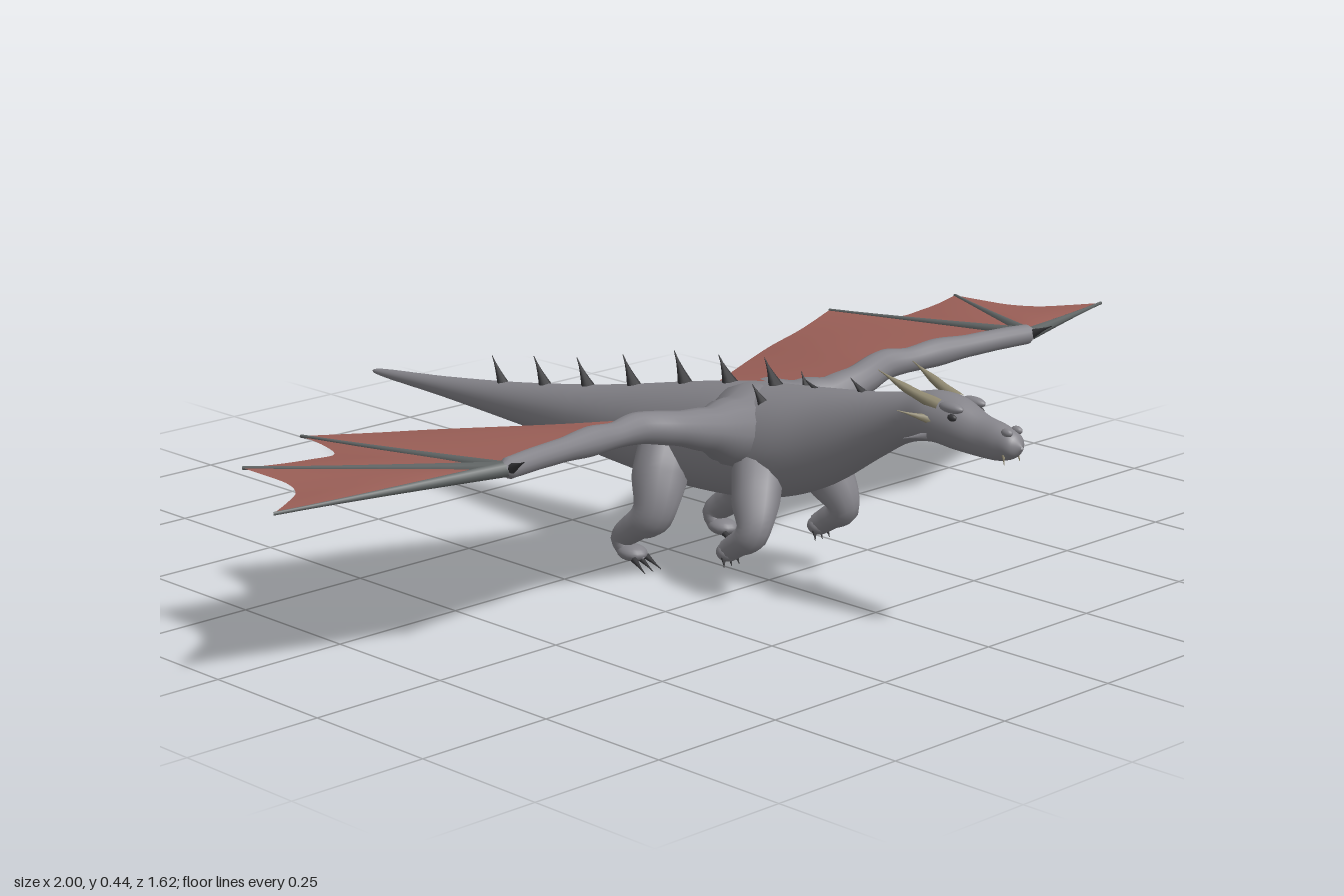
import * as THREE from 'three';
import { mergeVertices } from 'three/addons/utils/BufferGeometryUtils.js';

const material = (name, color, side = THREE.FrontSide) => {
  const m = new THREE.MeshStandardMaterial({ color, side });
  m.name = name;
  return m;
};
const V = (p) => new THREE.Vector3(...p);

export function createModel() {
  const hide = material('grey hide', 0x85848a);
  const skin = material('wing skin', 0x9c6058, THREE.DoubleSide);
  const bone = material('finger bone', 0x626767);
  const dark = material('dark spike', 0x37373a);
  const horn = material('pale horn', 0x8f8870);

  const model = new THREE.Group();
  model.name = 'dragon';
  const add = (name, geometry, mat) => {
    const mesh = new THREE.Mesh(geometry, mat);
    mesh.name = name;
    model.add(mesh);
    return mesh;
  };

  // Tube through points [x, y, z, radius], with the radius blended along it
  const limb = (name, points, mat, sides = 12, steps = 24) => {
    const curve = new THREE.CatmullRomCurve3(points.map(V));
    const geo = new THREE.TubeGeometry(curve, steps, 1, sides);
    const pos = geo.attributes.position;
    const v = new THREE.Vector3();
    for (let i = 0; i <= steps; i++) {
      const centre = curve.getPointAt(i / steps);
      const t = curve.getUtoTmapping(i / steps) * (points.length - 1);
      const k = Math.min(Math.floor(t), points.length - 2);
      const r = THREE.MathUtils.lerp(points[k][3], points[k + 1][3], THREE.MathUtils.smoothstep(t - k, 0, 1));
      for (let j = 0; j <= sides; j++) {
        const n = i * (sides + 1) + j;
        v.fromBufferAttribute(pos, n).sub(centre).multiplyScalar(r).add(centre);
        pos.setXYZ(n, v.x, v.y, v.z);
      }
    }
    return add(name, geo, mat);
  };
  const spike = (name, base, tip, r, mat) =>
    limb(name, [[...base, r], [...tip, 0.0006]], mat, 8, 4);
  const ball = (name, centre, size, mat) => {
    const geo = new THREE.SphereGeometry(1, 18, 12).scale(...size);
    add(name, geo, mat).position.set(...centre);
  };

  // Body from tail tip to nose: [z, top, bottom, half width]
  const stations = [
    [-0.81, 0.18, 0.178, 0.001], [-0.8, 0.184, 0.175, 0.006], [-0.6, 0.206, 0.168, 0.021],
    [-0.4, 0.232, 0.159, 0.038], [-0.2, 0.265, 0.149, 0.062], [-0.1, 0.285, 0.142, 0.076],
    [0, 0.307, 0.137, 0.088], [0.1, 0.328, 0.137, 0.096], [0.2, 0.346, 0.144, 0.101],
    [0.3, 0.358, 0.163, 0.092], [0.4, 0.371, 0.205, 0.066], [0.5, 0.385, 0.27, 0.045],
    [0.57, 0.399, 0.312, 0.038], [0.63, 0.412, 0.326, 0.045], [0.68, 0.409, 0.322, 0.04],
    [0.73, 0.39, 0.32, 0.03], [0.77, 0.382, 0.322, 0.026], [0.797, 0.371, 0.332, 0.02],
    [0.81, 0.353, 0.348, 0.001],
  ];
  const rail = (i) => new THREE.CatmullRomCurve3(stations.map((s) => new THREE.Vector3(s[0], s[i], 0)));
  const [topRail, bottomRail, widthRail] = [1, 2, 3].map(rail);
  const bodyGeo = new THREE.CylinderGeometry(1, 1, 1, 28, 108, true).rotateX(Math.PI / 2);
  const bp = bodyGeo.attributes.position;
  for (let i = 0; i < bp.count; i++) {
    const t = THREE.MathUtils.clamp(bp.getZ(i) + 0.5, 0, 1);
    const top = topRail.getPoint(t), bottom = bottomRail.getPoint(t).y;
    const width = Math.max(widthRail.getPoint(t).y, 0.0005);
    bp.setXYZ(i, bp.getX(i) * width, (top.y + bottom) / 2 + bp.getY(i) * (top.y - bottom) / 2, top.x);
  }
  bodyGeo.deleteAttribute('uv');
  bodyGeo.deleteAttribute('normal');
  const smoothBody = mergeVertices(bodyGeo, 1e-5);
  smoothBody.computeVertexNormals();
  add('body', smoothBody, hide);

  // Spines along the back: [base z, base y, height, radius]
  [[0.465, 0.375, 0.022, 0.008], [0.36, 0.36, 0.015, 0.006], [0.265, 0.345, 0.05, 0.015],
    [0.155, 0.33, 0.05, 0.016], [0.045, 0.308, 0.06, 0.015], [-0.085, 0.282, 0.055, 0.014],
    [-0.205, 0.259, 0.05, 0.013], [-0.32, 0.241, 0.05, 0.012], [-0.435, 0.222, 0.05, 0.011],
  ].forEach(([z, y, h, r]) => spike('backSpine', [0, y, z], [0, y + h, z - 0.03], r, dark));

  // Wing membrane stretched between two curves
  const membrane = (front, back) => {
    const a = new THREE.CatmullRomCurve3(front.map(V));
    const b = new THREE.CatmullRomCurve3(back.map(V));
    const geo = new THREE.PlaneGeometry(1, 1, 24, 8);
    const p = geo.attributes.position;
    for (let i = 0; i < p.count; i++) {
      const u = p.getX(i) + 0.5, w = 0.5 - p.getY(i);
      const q = a.getPoint(u).lerp(b.getPoint(u), w);
      q.y += 0.007 * Math.sin(Math.PI * u) * Math.sin(Math.PI * w);
      p.setXYZ(i, q.x, q.y, q.z);
    }
    // Keep the faces pointing upward on both wings
    if (front[front.length - 1][0] < 0 || back[back.length - 1][0] < 0) {
      const idx = geo.index;
      for (let i = 0; i < idx.count; i += 3) {
        const k = idx.getX(i);
        idx.setX(i, idx.getX(i + 1));
        idx.setX(i + 1, k);
      }
    }
    geo.computeVertexNormals();
    add('wingMembrane', geo, skin);
  };

  for (const s of [1, -1]) {
    const m = ([x, ...rest]) => [s * x, ...rest];
    const side = (list) => list.map(m);

    // Wing arm, finger bones and thumb claw
    limb('wingArm', side([[0.03, 0.27, 0.23, 0.085], [0.1, 0.288, 0.245, 0.056], [0.16, 0.302, 0.25, 0.037],
      [0.23, 0.317, 0.247, 0.029], [0.3, 0.328, 0.235, 0.027], [0.36, 0.328, 0.241, 0.022], [0.42, 0.332, 0.25, 0.025],
      [0.5, 0.334, 0.263, 0.02], [0.57, 0.336, 0.275, 0.019], [0.63, 0.336, 0.285, 0.018], [0.65, 0.336, 0.288, 0.002]]),
    hide, 14, 60);
    const wrist = [0.635, 0.335, 0.285];
    [[1, 0.31, 0.155], [0.865, 0.305, -0.095], [0.645, 0.291, -0.22]].forEach((tip) =>
      limb('wingFinger', side([[...wrist, 0.013], [...tip, 0.003]]), bone, 8, 8));
    spike('thumbClaw', m([0.632, 0.338, 0.295]), m([0.64, 0.358, 0.335]), 0.009, dark);

    // Membrane panels
    membrane(
      side([[0.06, 0.25, 0.23], [0.2, 0.288, 0.25], [0.3, 0.32, 0.235], [0.45, 0.33, 0.255], wrist]),
      side([[0.07, 0.245, -0.035], [0.19, 0.252, -0.08], [0.41, 0.27, -0.155], [0.52, 0.281, -0.178], [0.645, 0.291, -0.22]]));
    membrane(side([wrist, wrist]), side([[0.645, 0.291, -0.22], [0.66, 0.293, -0.14], [0.69, 0.296, -0.078],
      [0.74, 0.299, -0.075], [0.8, 0.302, -0.08], [0.865, 0.305, -0.095]]));
    membrane(side([wrist, wrist]), side([[0.865, 0.305, -0.095], [0.868, 0.306, -0.03], [0.875, 0.307, 0.035],
      [0.9, 0.308, 0.085], [0.945, 0.309, 0.12], [1, 0.31, 0.155]]));

    // Shoulder spike
    spike('shoulderSpike', m([0.055, 0.335, 0.285]), m([0.06, 0.365, 0.265]), 0.009, dark);

    // Foreleg with paw and claws
    limb('foreLeg', side([[0.06, 0.22, 0.28, 0.045], [0.09, 0.18, 0.305, 0.042], [0.112, 0.125, 0.318, 0.029],
      [0.113, 0.098, 0.285, 0.022], [0.112, 0.083, 0.262, 0.02], [0.112, 0.074, 0.245, 0.002]]), hide);
    ball('forePaw', m([0.112, 0.08, 0.262]), [0.022, 0.017, 0.021], hide);

    // Hind leg with foot and claws
    limb('hindLeg', side([[0.06, 0.22, 0.06, 0.05], [0.092, 0.175, 0.075, 0.05], [0.112, 0.11, 0.078, 0.038],
      [0.115, 0.075, 0.035, 0.026], [0.113, 0.048, 0.003, 0.022], [0.112, 0.03, 0.01, 0.018],
      [0.112, 0.024, 0.035, 0.015], [0.112, 0.02, 0.055, 0.002]]), hide, 14, 36);
    ball('hindFoot', m([0.112, 0.026, 0.025]), [0.024, 0.015, 0.03], hide);
    for (const d of [-0.015, 0, 0.015]) {
      spike('foreClaw', m([0.112 + d, 0.073, 0.265]), m([0.112 + d * 1.2, 0.056, 0.27]), 0.005, dark);
      spike('hindClaw', m([0.112 + d, 0.02, 0.045]), m([0.112 + d * 1.3, 0.002, 0.078]), 0.006, dark);
    }

    // Head: horns, cheek spikes, brows, eyes, nostrils and fangs
    limb('horn', side([[0.024, 0.395, 0.655, 0.012], [0.034, 0.412, 0.6, 0.008], [0.042, 0.437, 0.535, 0.0006]]), horn, 8, 10);
    spike('cheekSpike', m([0.034, 0.372, 0.65]), m([0.066, 0.385, 0.6]), 0.01, horn);
    spike('jawSpike', m([0.034, 0.345, 0.64]), m([0.05, 0.335, 0.6]), 0.008, hide);
    ball('brow', m([0.027, 0.398, 0.682]), [0.011, 0.009, 0.025], hide);
    ball('eye', m([0.034, 0.384, 0.69]), [0.005, 0.006, 0.009], dark);
    ball('nostril', m([0.012, 0.374, 0.788]), [0.007, 0.007, 0.011], hide);
    spike('fang', m([0.017, 0.342, 0.785]), m([0.019, 0.322, 0.79]), 0.004, horn);
  }
  return model;
}
